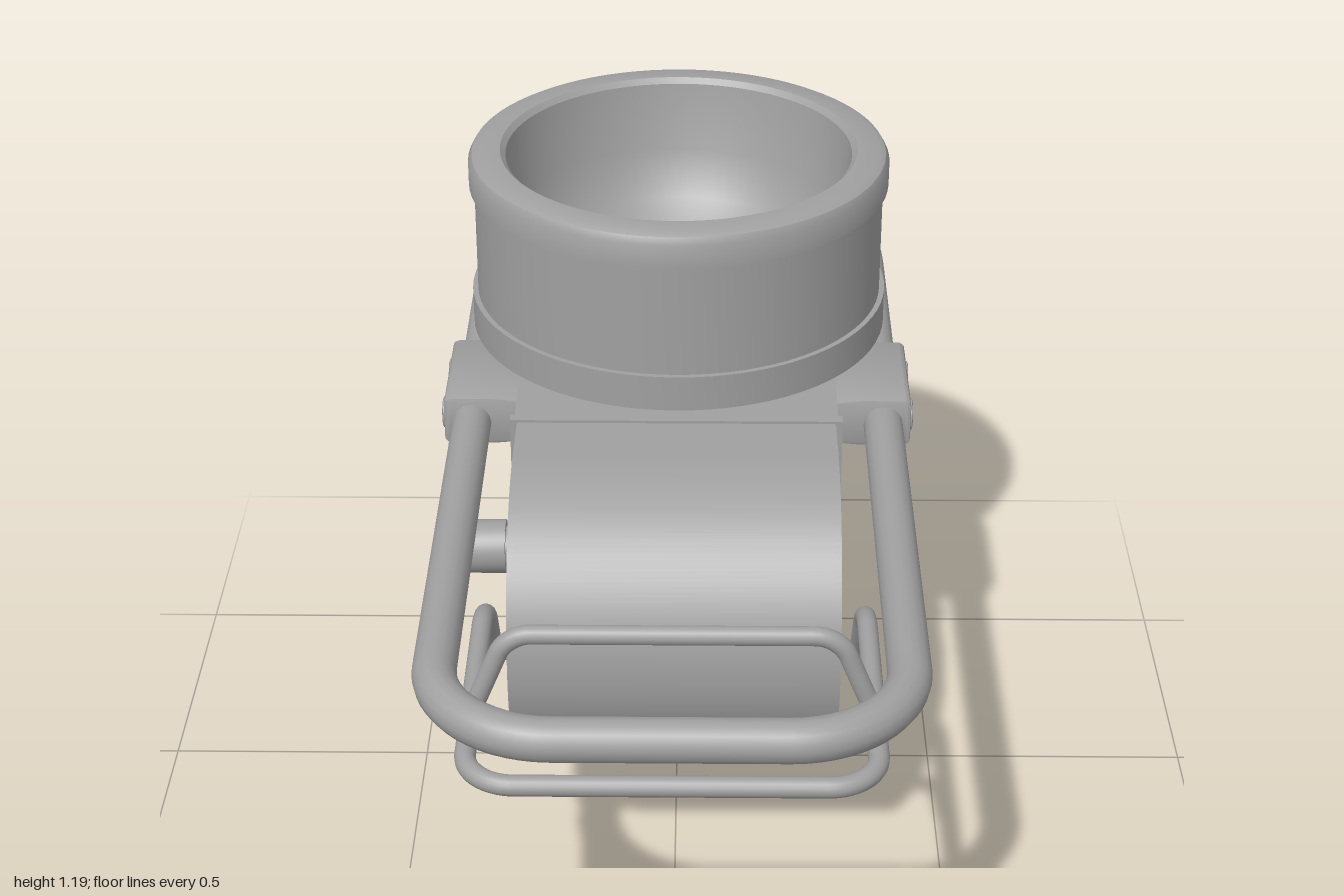
import * as THREE from 'three';
import { toCreasedNormals } from 'three/addons/utils/BufferGeometryUtils.js';

const AXIS_Z = -0.295; // z of the vertical axis shared by cup, body and spout

export function createModel() {
  const model = new THREE.Group();
  const metal = new THREE.MeshStandardMaterial({ color: 0xa0a0a0 });
  metal.name = 'grey metal';

  const add = (name, geo, x = 0, y = 0, z = 0) => {
    const mesh = new THREE.Mesh(geo, metal);
    mesh.name = name;
    mesh.position.set(x, y, z);
    model.add(mesh);
    return mesh;
  };
  const lathe = (pts, seg = 64) => toCreasedNormals(
    new THREE.LatheGeometry(pts.map(([r, y]) => new THREE.Vector2(r, y)), seg), 0.5);
  const extrude = (shape, depth, bevel = 0) => toCreasedNormals(new THREE.ExtrudeGeometry(shape, {
    depth, curveSegments: 40, bevelEnabled: bevel > 0, bevelSize: bevel, bevelThickness: bevel, bevelSegments: 2,
  }), 0.5);
  // Profile drawn in (z, y), extruded along x and centred on x = 0
  const extrudeX = (shape, depth) => extrude(shape, depth).rotateY(-Math.PI / 2).translate(depth / 2, 0, 0);

  // Polyline with rounded corners, swept as a tube
  const roundTube = (points, bend, radius, segments, closed = false) => {
    const p = points.map((q) => new THREE.Vector3(...q));
    const path = new THREE.CurvePath();
    const n = p.length;
    let last = p[0];
    for (let i = 1; i < n; i++) {
      if (i === n - 1) {
        path.add(new THREE.LineCurve3(last, p[i]));
        break;
      }
      const before = p[i - 1].clone().sub(p[i]), after = p[i + 1].clone().sub(p[i]);
      const r = Math.min(bend, before.length() * 0.48, after.length() * 0.48);
      const u = before.normalize(), v = after.normalize();
      const at = (d, k) => p[i].clone().addScaledVector(d, k);
      path.add(new THREE.LineCurve3(last, at(u, r)));
      path.add(new THREE.CubicBezierCurve3(at(u, r), at(u, r * 0.45), at(v, r * 0.45), at(v, r)));
      last = at(v, r);
    }
    return new THREE.TubeGeometry(path, segments, radius, 16, closed);
  };

  // Hexagon socket screw along +y, sitting on y = 0
  const screw = (r, h) => lathe([[0, 0], [r, 0], [r, h * 0.8], [r * 0.85, h], [r * 0.5, h], [r * 0.5, h * 0.5], [0, h * 0.5]], 20);

  // Hopper cup with rolled rims and funnel inside
  add('hopperCup', lathe([
    [0.15, 0.84], [0.395, 0.84], [0.395, 0.908], [0.385, 0.908], [0.385, 1.125], [0.395, 1.125],
    [0.395, 1.17], [0.388, 1.183], [0.375, 1.19], [0.335, 1.19], [0.325, 1.18],
    [0.305, 1.05], [0.27, 0.96], [0.22, 0.915], [0.15, 0.875], [0.15, 0.84],
  ], 80), 0, 0, AXIS_Z);
  for (const sx of [-1, 1]) for (const sz of [-1, 1]) {
    add('cupScrew', screw(0.028, 0.05), sx * 0.158, 0.915, AXIS_Z + sz * 0.158);
  }
  add('collar', lathe([[0.15, 0.81], [0.295, 0.81], [0.295, 0.84], [0.15, 0.84]]), 0, 0, AXIS_Z);

  // Housing: round at the back, square at the front, with a bore through it
  const plan = new THREE.Shape();
  plan.moveTo(-0.295, -0.1);
  plan.lineTo(0.295, -0.1);
  plan.lineTo(0.295, -AXIS_Z);
  plan.absarc(0, -AXIS_Z, 0.295, 0, Math.PI, false);
  plan.closePath();
  plan.holes.push(new THREE.Path().absarc(0, -AXIS_Z, 0.15, 0, Math.PI * 2, true));
  add('housing', extrude(plan, 0.575).rotateX(-Math.PI / 2), 0, 0.25, 0);
  add('housingFrontFlange', new THREE.BoxGeometry(0.605, 0.575, 0.022), 0, 0.5375, 0.101);
  add('boreFloor', new THREE.CylinderGeometry(0.152, 0.152, 0.02, 32), 0, 0.3, AXIS_Z);
  add('boreValve', new THREE.BoxGeometry(0.13, 0.3, 0.15), 0.07, 0.55, -0.25);

  // Base plate and spout
  add('basePlate', lathe([[0.13, 0.21], [0.27, 0.21], [0.28, 0.218], [0.28, 0.252], [0.13, 0.252]]), 0, 0, AXIS_Z);
  add('spout', lathe([
    [0.13, 0], [0.17, 0], [0.175, 0.006], [0.175, 0.22], [0.13, 0.22], [0.13, 0],
  ]), 0, 0, AXIS_Z);
  for (const sx of [-1, 1]) for (const sz of [-1, 1]) {
    const s = add('baseScrew', screw(0.037, 0.05), sx * 0.158, 0.21, AXIS_Z + sz * 0.158);
    s.rotation.x = Math.PI;
  }

  // Pull knobs on both sides of the spout
  const knob = lathe([
    [0.036, 0.15], [0.036, 0.2], [0.058, 0.2], [0.058, 0.285], [0.075, 0.287], [0.083, 0.293],
    [0.083, 0.3], [0.07, 0.317], [0.04, 0.325], [0, 0.327],
  ], 40).rotateZ(-Math.PI / 2);
  for (const s of [1, -1]) add('spoutKnob', knob, 0, 0.093, AXIS_Z).rotation.y = s > 0 ? 0 : Math.PI;

  // Cable gland on the right side of the housing
  add('sideSocket', lathe([[0.04, 0.27], [0.04, 0.345], [0.054, 0.345], [0.054, 0.44], [0.05, 0.445], [0, 0.445]], 32)
    .rotateZ(Math.PI / 2), 0, 0.345, -0.23);

  // Stepped fitting on the back
  add('backFitting', lathe([
    [0.04, 0], [0.04, 0.11], [0.02, 0.11], [0.02, 0.125], [0.034, 0.125], [0.034, 0.16],
    [0.024, 0.165], [0.024, 0.18], [0.017, 0.18], [0.017, 0.215], [0, 0.215],
  ], 24).rotateX(-Math.PI / 2), 0.07, 0.66, -0.565);

  // Motor cover: side plates pierced by a swirl of slots
  const cz = 0.245, cy = 0.54, R = 0.28;
  const side = new THREE.Shape();
  side.moveTo(0.115, cy - R);
  side.lineTo(cz, cy - R);
  side.absarc(cz, cy, R, -Math.PI / 2, Math.PI / 2, false);
  side.lineTo(0.115, cy + R);
  side.closePath();
  for (let i = 0; i < 14; i++) {
    const a = (i / 14) * Math.PI * 2, left = [], right = [];
    for (let k = 0; k <= 4; k++) {
      const r = 0.035 + k * 0.021, w = 0.16 - k * 0.015, b = a - 0.035 * k * k;
      left.push(new THREE.Vector2(0.27 + r * Math.cos(b + w), 0.55 + r * Math.sin(b + w)));
      right.unshift(new THREE.Vector2(0.27 + r * Math.cos(b - w), 0.55 + r * Math.sin(b - w)));
    }
    side.holes.push(new THREE.Path([...left, ...right]));
  }
  for (const s of [-1, 1]) add('motorSidePlate', extrudeX(side, 0.012), s * 0.284);

  // Motor cover: curved shell, with slats underneath
  const shellPart = (a0, a1, flatTop) => {
    const sh = new THREE.Shape();
    sh.absarc(cz, cy, R, a0, a1, false);
    if (flatTop) {
      sh.lineTo(0.11, cy + R);
      sh.lineTo(0.11, cy + R - 0.014);
    }
    sh.absarc(cz, cy, R - 0.014, a1, a0, true);
    return extrudeX(sh, 0.578);
  };
  add('motorShell', shellPart(-1.05, Math.PI / 2, true));
  for (let i = 0; i < 3; i++) add('motorSlat', shellPart(-1.54 + i * 0.165, -1.43 + i * 0.165, false));
  for (let i = 0; i < 3; i++) {
    add('motorSlat', new THREE.BoxGeometry(0.578, 0.014, 0.03), 0, cy - R + 0.007, 0.13 + i * 0.046);
  }

  // Carrying frame around the whole machine
  const fx = 0.388, fz = 0.963, fy = 0.725;
  add('carryFrame', roundTube([
    [fx, fy, 0], [fx, fy, -fz], [-fx, fy, -fz], [-fx, fy, fz], [fx, fy, fz], [fx, fy, 0],
  ], 0.2, 0.037, 240, true));

  // Front guard rail and the hoop standing on it
  const gx = 0.343;
  const half = [[0.28, 0.362, 0.17], [gx, 0.362, 0.175], [gx, 0.562, 0.31], [gx, 0.562, 0.865]];
  const mirrored = (pts) => [...pts, ...pts.map(([x, y, z]) => [-x, y, z]).reverse()];
  add('guardRail', roundTube(mirrored(half), 0.085, 0.018, 240));
  add('guardHoop', roundTube(mirrored([[0.338, 0.562, 0.635], [0.28, 0.705, 0.635]]), 0.04, 0.017, 80));

  // Frame brackets, bracket screws and guard rail mounts on both sides
  const block = new THREE.Shape();
  block.moveTo(0.27, 0.69);
  block.lineTo(0.345, 0.683);
  block.lineTo(0.425, 0.683);
  block.quadraticCurveTo(0.436, 0.683, 0.436, 0.694);
  block.lineTo(0.436, 0.76);
  block.quadraticCurveTo(0.436, 0.771, 0.425, 0.771);
  block.lineTo(0.345, 0.771);
  block.lineTo(0.27, 0.765);
  const bracketGeo = extrude(block, 0.234, 0.004);
  for (const s of [1, -1]) {
    const bracket = add('frameBracket', bracketGeo, 0, 0, s > 0 ? -0.297 : -0.063);
    bracket.rotation.y = s > 0 ? 0 : Math.PI;
    for (const z of [-0.1, -0.252]) {
      add('bracketScrew', screw(0.03, 0.008), s * 0.437, fy, z).rotation.z = -s * Math.PI / 2;
    }
    for (const y of [0.42, 0.31]) {
      add('coverScrew', screw(0.022, 0.016), s * 0.288, y, 0.148).rotation.z = -s * Math.PI / 2;
    }
  }
  return model;
}
